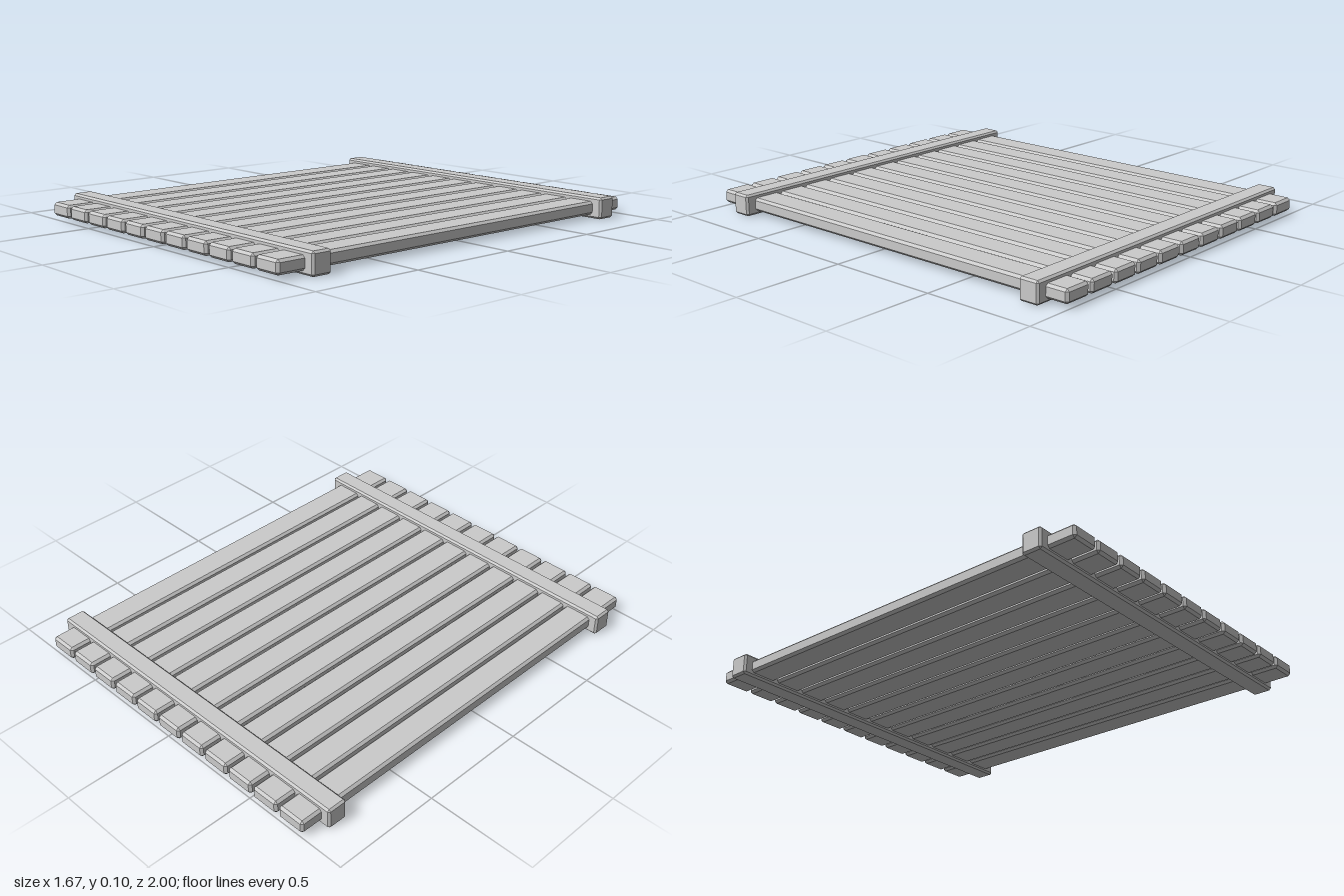
import * as THREE from 'three';
import { ConvexGeometry } from 'three/addons/geometries/ConvexGeometry.js';

const material = new THREE.MeshStandardMaterial({ color: 0xcccccc, flatShading: true });

// Box with all edges chamfered by c
function chamferedBox(w, h, d, c) {
  const points = [];
  for (const sx of [-1, 1]) for (const sy of [-1, 1]) for (const sz of [-1, 1]) {
    const x = w / 2, y = h / 2, z = d / 2;
    points.push(
      new THREE.Vector3(sx * x, sy * (y - c), sz * (z - c)),
      new THREE.Vector3(sx * (x - c), sy * y, sz * (z - c)),
      new THREE.Vector3(sx * (x - c), sy * (y - c), sz * z)
    );
  }
  return new ConvexGeometry(points);
}

function addPart(group, name, geometry, x, y, z) {
  const mesh = new THREE.Mesh(geometry, material);
  mesh.name = name;
  mesh.position.set(x, y, z);
  group.add(mesh);
}

export function createModel() {
  const model = new THREE.Group();
  model.name = 'plankPlatform';

  // Row of long planks
  const planks = new THREE.Group();
  planks.name = 'planks';
  const count = 11, pitch = 0.1455;
  const plank = chamferedBox(0.132, 0.06, 2, 0.011);
  for (let i = 0; i < count; i++) {
    addPart(planks, `plank${i + 1}`, plank, (i - (count - 1) / 2) * pitch - 0.002, 0.047, 0);
  }
  model.add(planks);

  // Cross beams enclosing the planks near both ends
  const beam = chamferedBox(1.674, 0.097, 0.093, 0.009);
  addPart(model, 'frontBeam', beam, 0, 0.0485, 0.826);
  addPart(model, 'backBeam', beam, 0, 0.0485, -0.852);

  return model;
}
